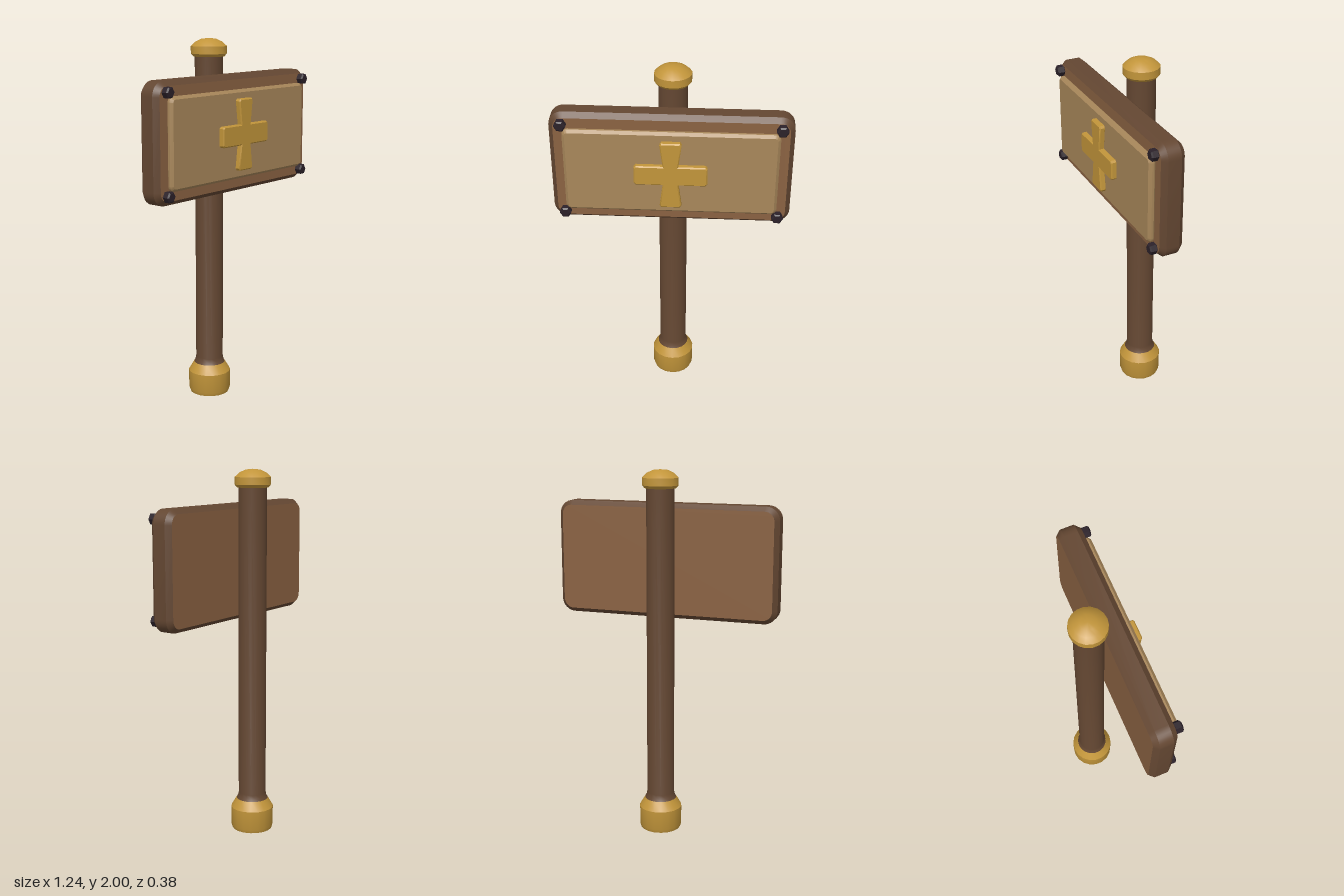
import * as THREE from 'three';
import { toCreasedNormals } from 'three/addons/utils/BufferGeometryUtils.js';

const material = (name, color) => {
  const m = new THREE.MeshStandardMaterial({ color });
  m.name = name;
  return m;
};

export function createModel() {
  const darkWood = material('dark wood', 0x644732);
  const lightWood = material('light wood', 0x8a6242);
  const tan = material('tan panel', 0xa8875a);
  const gold = material('gold', 0xc2953a);
  const iron = material('dark iron', 0x2b2129);

  const group = new THREE.Group();
  group.name = 'signpost';
  const POST_Z = -0.073, SIGN_Y = 1.502;

  const add = (name, geometry, mat, x = 0, y = 0, z = 0) => {
    const mesh = new THREE.Mesh(toCreasedNormals(geometry, 0.5), mat);
    mesh.name = name;
    mesh.position.set(x, y, z);
    group.add(mesh);
    return mesh;
  };

  // Turned parts: profile pairs of [radius, height]
  const turned = (name, profile, mat) => add(name,
    new THREE.LatheGeometry(profile.map(([r, y]) => new THREE.Vector2(r, y)), 18),
    mat, 0, 0, POST_Z);

  turned('base', [[0, 0], [0.11, 0], [0.117, 0.02], [0.118, 0.125], [0.088, 0.175], [0, 0.175]], gold);
  turned('post', [[0.088, 0.174], [0.08, 0.19], [0.076, 0.21], [0.076, 1.91]], darkWood);
  turned('finial', [[0, 1.903], [0.084, 1.903], [0.097, 1.918], [0.097, 1.958],
    [0.072, 1.981], [0.04, 1.996], [0, 2.0]], gold);

  // Bevelled slab whose back lies at z = 0; sizes are the outer ones
  const slab = (shape, depth, bevelSize, bevelThickness) => {
    const g = new THREE.ExtrudeGeometry(shape, {
      depth: depth - 2 * bevelThickness, bevelEnabled: true, bevelSegments: 1,
      bevelSize, bevelThickness, bevelOffset: -bevelSize, curveSegments: 4,
    });
    return g.translate(0, 0, bevelThickness);
  };
  const roundedRect = (w, h, r) => {
    const s = new THREE.Shape(), x = w / 2 - r, y = h / 2 - r;
    s.absarc(x, y, r, 0, Math.PI / 2);
    s.absarc(-x, y, r, Math.PI / 2, Math.PI);
    s.absarc(-x, -y, r, Math.PI, Math.PI * 1.5);
    s.absarc(x, -y, r, Math.PI * 1.5, Math.PI * 2);
    return s;
  };

  // Board with light faces and dark edges, and the raised panel on it
  add('board', slab(roundedRect(1.242, 0.625, 0.075), 0.126, 0.024, 0.027),
    [lightWood, darkWood], 0, SIGN_Y, 0);
  add('panel', slab(roundedRect(1.1, 0.474, 0.03), 0.04, 0.014, 0.014),
    tan, 0, SIGN_Y, 0.12);

  // Cross emblem with flared upright arms
  const quarter = [[0.188, 0.045], [0.178, 0.055], [0.04, 0.055], [0.056, 0.178], [0.048, 0.19]];
  const flip = (sx, sy) => quarter.map(([x, y]) => new THREE.Vector2(x * sx, y * sy));
  const cross = new THREE.Shape([
    ...flip(1, 1), ...flip(-1, 1).reverse(), ...flip(-1, -1), ...flip(1, -1).reverse(),
  ]);
  add('crossEmblem', slab(cross, 0.034, 0.006, 0.006), gold, 0, SIGN_Y + 0.002, 0.155);

  // Hexagonal corner bolts with a chamfered head
  for (const sx of [-1, 1]) for (const sy of [-1, 1]) {
    const hex = new THREE.Shape(Array.from({ length: 6 }, (_, i) =>
      new THREE.Vector2(0.031 * Math.cos(i * Math.PI / 3), 0.031 * Math.sin(i * Math.PI / 3))));
    add('cornerBolt', slab(hex, 0.043, 0.007, 0.007), iron, sx * 0.556, SIGN_Y + sy * 0.259, 0.122);
  }

  return group;
}
